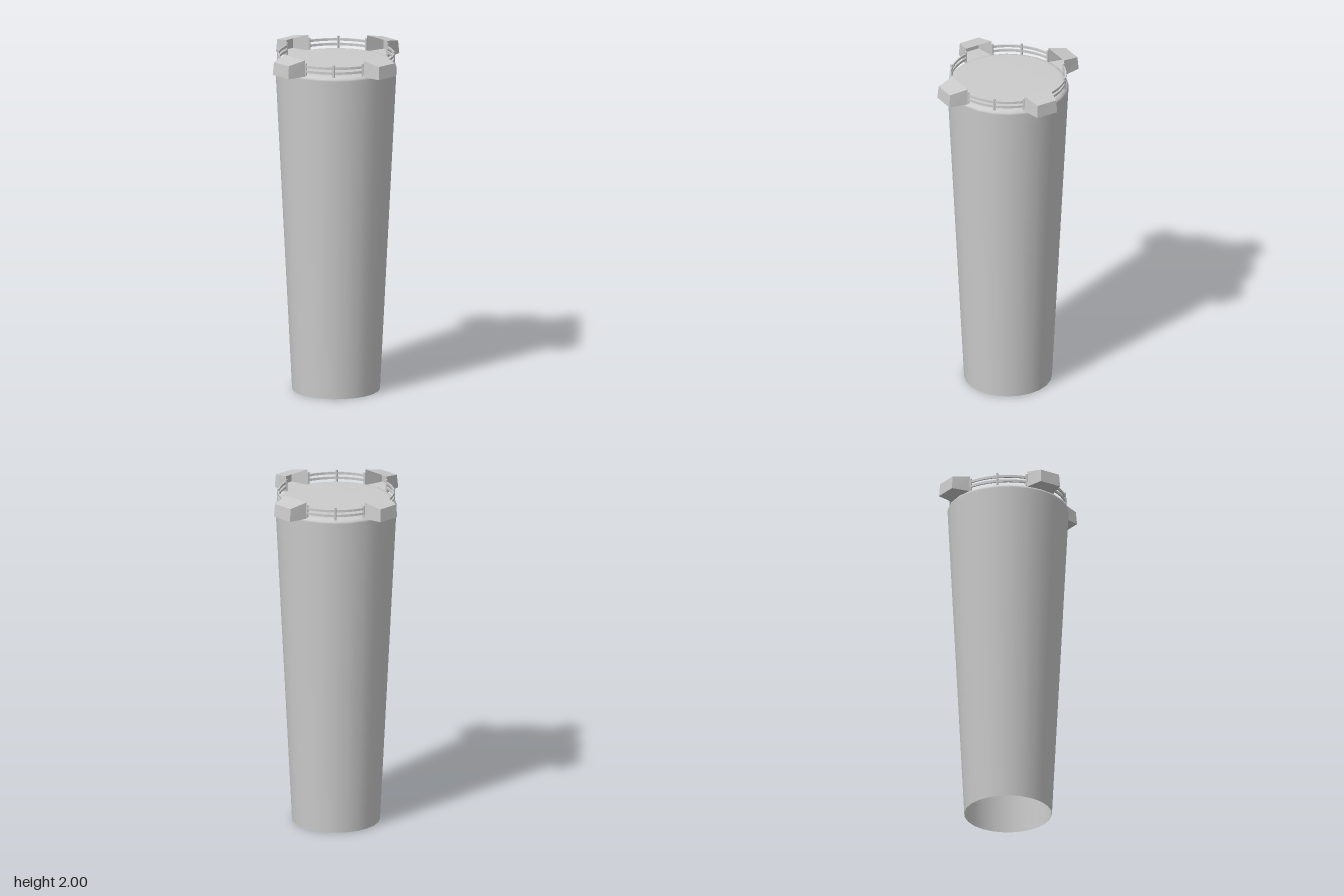
import * as THREE from 'three';

export function createModel() {
  const model = new THREE.Group();
  const smooth = new THREE.MeshStandardMaterial({ color: 0xcccccc, side: THREE.DoubleSide });
  const flat = new THREE.MeshStandardMaterial({ color: 0xcccccc, side: THREE.DoubleSide, flatShading: true });

  const add = (parent, name, geometry, material) => {
    const mesh = new THREE.Mesh(geometry, material);
    mesh.name = name;
    parent.add(mesh);
    return mesh;
  };

  // Tapered shaft, open below, with a softly rounded rim and closed deck
  const profile = [[0.25, 0], [0.345, 1.89], [0.342, 1.9], [0.332, 1.91], [0.32, 1.915], [0.3, 1.917], [0, 1.917]]
    .map(([r, y]) => new THREE.Vector2(r, y));
  add(model, 'towerShaft', new THREE.LatheGeometry(profile, 24), smooth);

  // Tapered bay: roof, floor, two cheeks and an outer wall, open towards the deck
  const bayGeometry = () => {
    const corner = (side, outer, top) => [
      side * (outer ? (top ? 0.062 : 0.066) : (top ? 0.085 : 0.09)),
      top ? (outer ? 1.98 : 2.0) : 1.905,
      outer ? (top ? 0.424 : 0.43) : 0.32,
    ];
    const points = [];
    const quad = (a, b, c, d) => points.push(...a, ...b, ...c, ...a, ...c, ...d);
    quad(corner(-1, 1, 1), corner(1, 1, 1), corner(1, 0, 1), corner(-1, 0, 1));
    quad(corner(-1, 0, 0), corner(1, 0, 0), corner(1, 1, 0), corner(-1, 1, 0));
    quad(corner(-1, 1, 0), corner(1, 1, 0), corner(1, 1, 1), corner(-1, 1, 1));
    quad(corner(1, 1, 0), corner(1, 0, 0), corner(1, 0, 1), corner(1, 1, 1));
    quad(corner(-1, 0, 0), corner(-1, 1, 0), corner(-1, 1, 1), corner(-1, 0, 1));
    const geometry = new THREE.BufferGeometry();
    geometry.setAttribute('position', new THREE.Float32BufferAttribute(points, 3));
    geometry.computeVertexNormals();
    return geometry;
  };

  // Curved rail strip covering the gap between two bays
  const railRadius = 0.328, start = THREE.MathUtils.degToRad(15.5), end = Math.PI / 2 - start;
  const railGeometry = (height) => {
    const shape = new THREE.Shape();
    shape.absarc(0, 0, railRadius + 0.004, start, end, false);
    shape.absarc(0, 0, railRadius - 0.004, end, start, true);
    return new THREE.ExtrudeGeometry(shape, { depth: height, bevelEnabled: false, curveSegments: 8 })
      .rotateX(-Math.PI / 2);
  };

  const bay = bayGeometry();
  const rail = railGeometry(0.014);
  const post = new THREE.CylinderGeometry(0.007, 0.007, 0.073, 8);

  // Four identical quarters of the crown
  for (let i = 0; i < 4; i++) {
    const quarter = new THREE.Group();
    quarter.name = 'crownQuarter';
    quarter.rotation.y = i * Math.PI / 2;
    add(quarter, 'bay', bay, flat);
    for (const y of [1.929, 1.957]) add(quarter, 'rail', rail, smooth).position.y = y;
    for (const angle of [start, Math.PI / 4, end]) {
      add(quarter, 'railPost', post, smooth)
        .position.set(railRadius * Math.cos(angle), 1.947, -railRadius * Math.sin(angle));
    }
    model.add(quarter);
  }
  return model;
}
